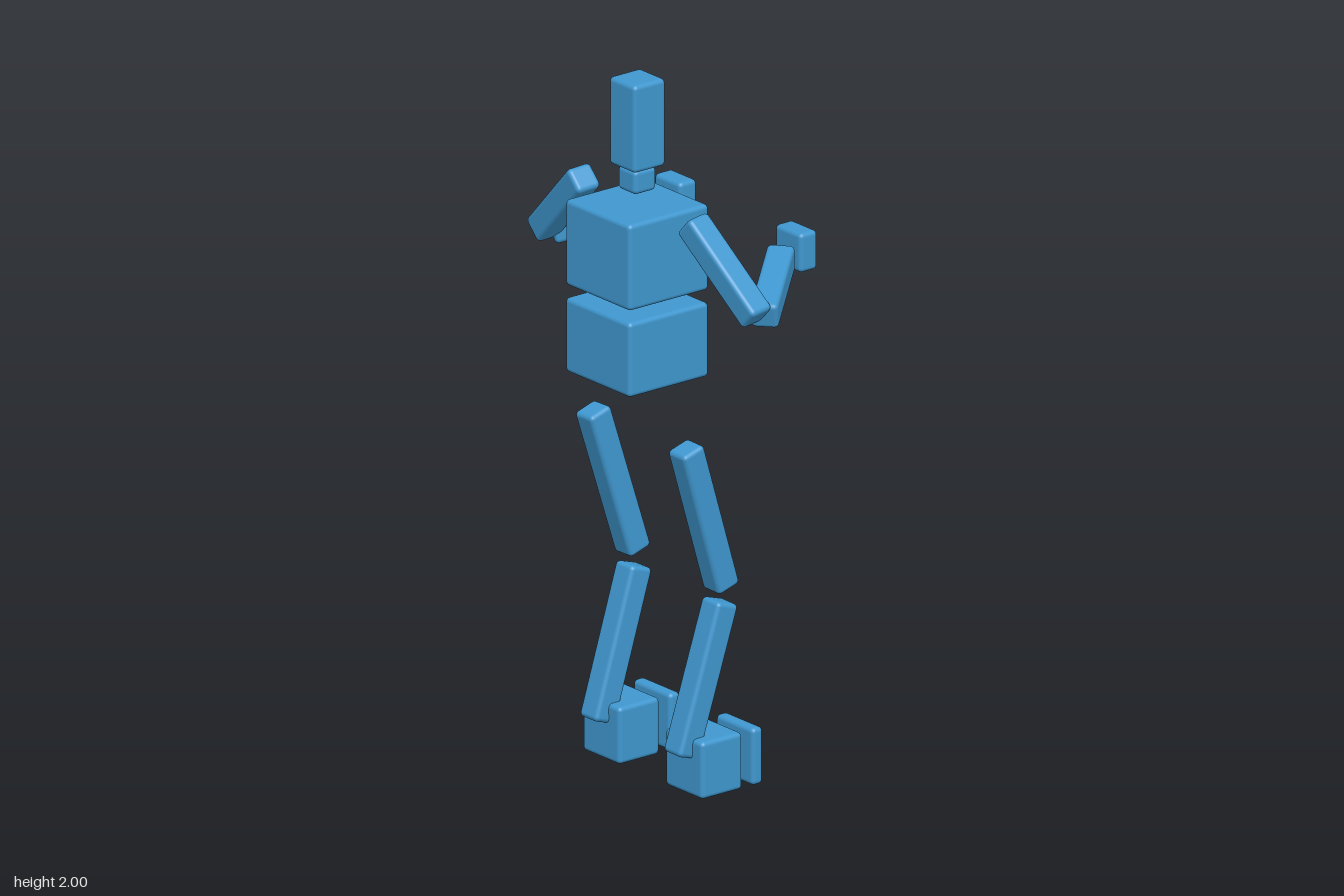
import * as THREE from 'three';
import { RoundedBoxGeometry } from 'three/addons/geometries/RoundedBoxGeometry.js';

const blue = new THREE.MeshStandardMaterial({ color: 0x3f97cf });
blue.name = 'mannequin blue';

export function createModel() {
  const model = new THREE.Group();
  model.name = 'blockMannequin';

  // Softly bevelled block
  function block(name, size, position, radius = 0.013) {
    const mesh = new THREE.Mesh(new RoundedBoxGeometry(...size, 3, radius), blue);
    mesh.name = name;
    mesh.position.set(...position);
    model.add(mesh);
    return mesh;
  }

  // Square bar between two end centres; one side is kept closest to "ref"
  function limb(name, start, end, ref, width = 0.075) {
    const a = new THREE.Vector3(...start), b = new THREE.Vector3(...end);
    const along = b.clone().sub(a);
    const length = along.length();
    along.normalize();
    const side = new THREE.Vector3(...ref).addScaledVector(along, -along.dot(new THREE.Vector3(...ref))).normalize();
    const mesh = block(name, [width, length, width], a.add(b).multiplyScalar(0.5).toArray());
    mesh.quaternion.setFromRotationMatrix(
      new THREE.Matrix4().makeBasis(side, along, side.clone().cross(along)));
  }

  // Head, neck and torso
  block('head', [0.11, 0.25, 0.112], [-0.117, 1.875, 0]);
  block('neck', [0.076, 0.068, 0.076], [-0.118, 1.714, 0]);
  block('chest', [0.277, 0.246, 0.277], [-0.118, 1.522, 0]);
  block('pelvis', [0.277, 0.213, 0.277], [-0.118, 1.258, 0]);

  // Mirrored arms and legs
  const X = [1, 0, 0], Y = [0, 1, 0];
  for (const [label, s] of [['near', 1], ['far', -1]]) {
    limb(label + 'UpperArm', [-0.114, 1.65, s * 0.229], [-0.073, 1.43, s * 0.46], X);
    limb(label + 'Forearm', [-0.045, 1.425, s * 0.453], [0.166, 1.503, s * 0.268], Y);
    block(label + 'Hand', [0.061, 0.112, 0.112], [0.224, 1.511, s * 0.258]);

    limb(label + 'Thigh', [-0.111, 0.995, s * 0.199], [0.022, 0.567, s * 0.189], X);
    limb(label + 'Shin', [0.022, 0.525, s * 0.184], [-0.111, 0.11, s * 0.179], X);
    block(label + 'Foot', [0.142, 0.163, 0.16], [-0.03, 0.0815, s * 0.177]);
    block(label + 'Toes', [0.038, 0.163, 0.16], [0.093, 0.0815, s * 0.177]);
  }

  return model;
}
